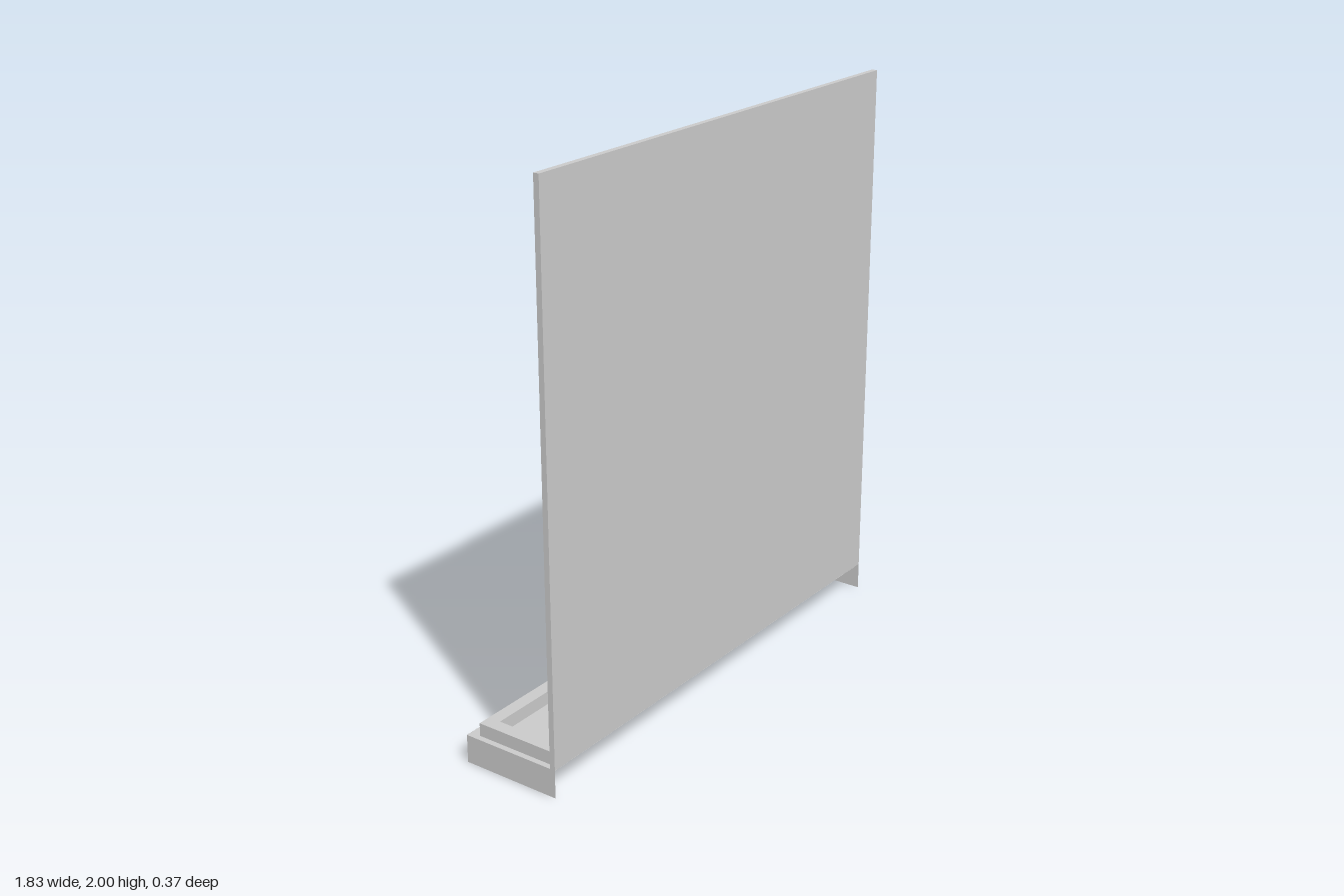
import * as THREE from 'three';

const material = new THREE.MeshStandardMaterial({ color: 0xcccccc, flatShading: true });
const sheet = new THREE.MeshStandardMaterial({ color: 0xcccccc, side: THREE.DoubleSide });

const HALF = 0.913, FRONT = 0.183, BACK = -0.183, WALL = 0.163, DECK = 0.1;

// Box given by its limits on each axis
function box(name, [x0, x1], [y0, y1], [z0, z1]) {
  const mesh = new THREE.Mesh(new THREE.BoxGeometry(x1 - x0, y1 - y0, z1 - z0), material);
  mesh.position.set((x0 + x1) / 2, (y0 + y1) / 2, (z0 + z1) / 2);
  mesh.name = name;
  return mesh;
}

// Thin board with three rounded notches along its free edge
function notchedShelf(x, y) {
  const width = 0.342, steps = 48, tip = 0.073, depth = 0.039;
  const shape = new THREE.Shape();
  shape.moveTo(width / 2, WALL + 0.01);
  shape.lineTo(-width / 2, WALL + 0.01);
  for (let i = 0; i <= steps; i++) {
    const t = i / steps;
    const wave = (1 - Math.cos(t * 3 * Math.PI * 2)) / 2;
    shape.lineTo((t - 0.5) * width, tip + depth * wave);
  }
  const geometry = new THREE.ExtrudeGeometry(shape, { depth: 0.013, bevelEnabled: false });
  geometry.rotateX(Math.PI / 2);
  const mesh = new THREE.Mesh(geometry, material);
  mesh.position.set(x, y + 0.0065, 0);
  mesh.name = 'notchedShelf';
  return mesh;
}

// Shelf split into three bays by upright dividers
function dividedShelf(x, y) {
  const shelf = new THREE.Group();
  shelf.name = 'dividedShelf';
  const half = 0.155, thick = 0.01, depth = [0.073, WALL + 0.01];
  shelf.add(box('shelfFloor', [-half, half], [0, 0.012], depth));
  for (let i = 0; i < 4; i++) {
    const left = -half + (i * (2 * half - thick)) / 3;
    shelf.add(box('shelfDivider', [left, left + thick], [0.006, 0.04], depth));
  }
  shelf.position.set(x, y, 0);
  return shelf;
}

export function createModel() {
  const model = new THREE.Group();
  model.name = 'wallDisplayRack';

  // Upright panel
  model.add(box('panel', [-HALF, HALF], [DECK, 2], [WALL, FRONT]));

  // Hollow base: deck, rear skirt and two side skirts, open at front and below
  const base = new THREE.Group();
  base.name = 'base';
  const deck = new THREE.Mesh(new THREE.PlaneGeometry(2 * HALF, FRONT - BACK), sheet);
  deck.rotation.x = -Math.PI / 2;
  deck.position.y = DECK - 0.0005;
  deck.name = 'baseDeck';
  const rear = new THREE.Mesh(new THREE.PlaneGeometry(2 * HALF, DECK), sheet);
  rear.rotation.y = Math.PI;
  rear.position.set(0, DECK / 2, BACK);
  rear.name = 'rearSkirt';
  base.add(deck, rear);
  for (const side of [-1, 1]) {
    const skirt = new THREE.Mesh(new THREE.PlaneGeometry(FRONT - BACK, DECK), sheet);
    skirt.rotation.y = (side * Math.PI) / 2;
    skirt.position.set(side * HALF, DECK / 2, 0);
    skirt.name = 'sideSkirt';
    base.add(skirt);
  }
  model.add(base);

  // U-shaped rim on the deck, one extruded outline
  const outer = 0.892, inner = 0.846, rimBack = -0.145, rimInner = -0.099;
  const outline = [
    [-outer, rimBack], [outer, rimBack], [outer, WALL], [inner, WALL],
    [inner, rimInner], [-inner, rimInner], [-inner, WALL], [-outer, WALL],
  ];
  const rimShape = new THREE.Shape(outline.map(([x, z]) => new THREE.Vector2(x, z)));
  const rimGeometry = new THREE.ExtrudeGeometry(rimShape, { depth: 0.057, bevelEnabled: false });
  rimGeometry.rotateX(Math.PI / 2);
  const rim = new THREE.Mesh(rimGeometry, material);
  rim.position.y = 0.146;
  rim.name = 'trayRim';
  model.add(rim);

  // Shelves on the back of the panel
  for (const [x, y] of [[-0.015, 1.87], [-0.54, 1.38], [0.415, 1.06], [-0.15, 0.625]]) {
    model.add(notchedShelf(x, y));
  }
  for (const [x, y] of [[-0.015, 1.573], [-0.54, 0.867], [0.415, 0.533]]) {
    model.add(dividedShelf(x, y));
  }

  return model;
}
